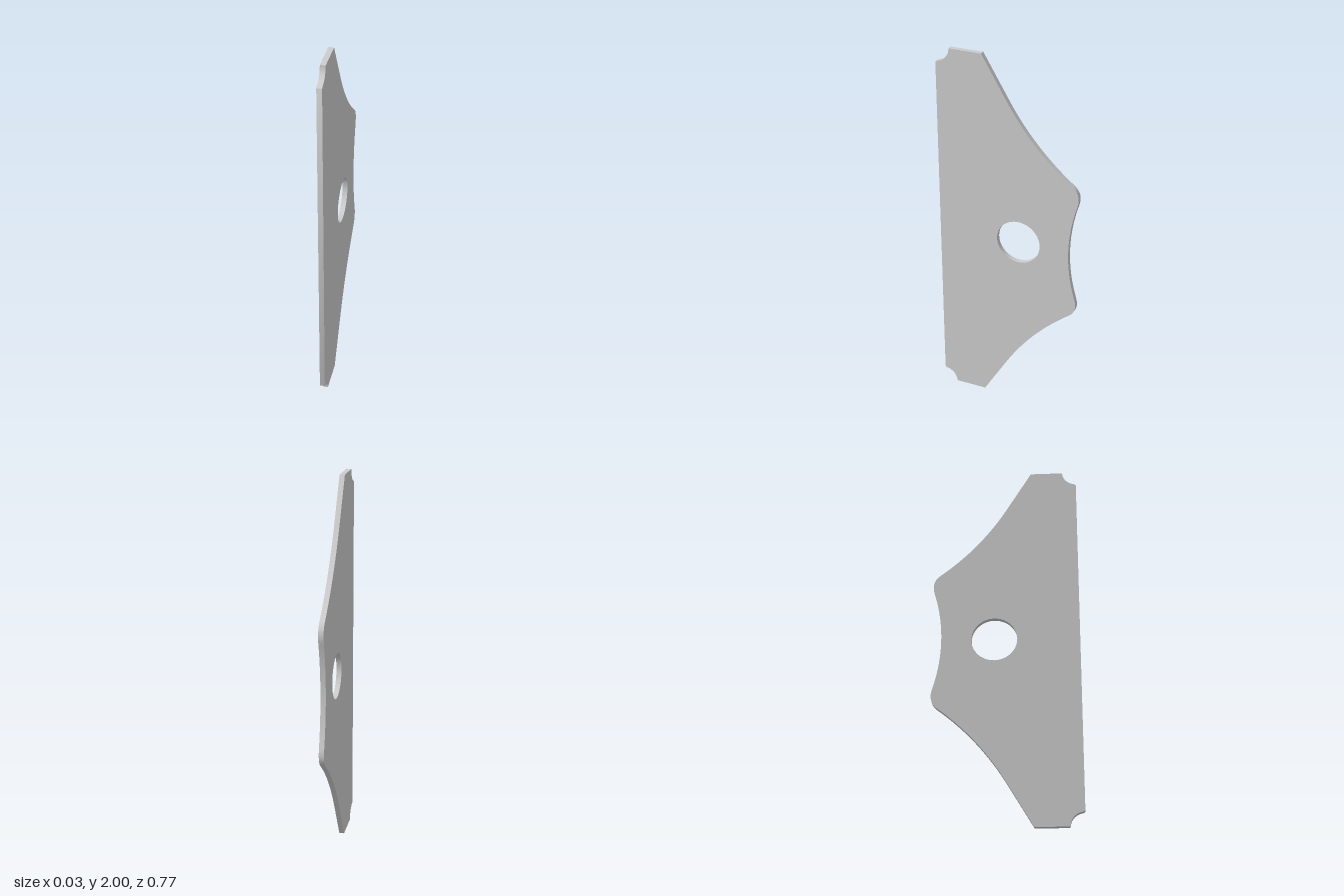
import * as THREE from 'three';
import { toCreasedNormals } from 'three/addons/utils/BufferGeometryUtils.js';

const THICKNESS = 0.027;
const MID = 1; // height of the mirror line

// Upper half of the outline, from the middle of the back edge to the front edge
function upperHalf() {
  const p = new THREE.Path();
  p.moveTo(0.3365, MID);
  p.quadraticCurveTo(0.3365, 1.139, 0.378, 1.275); // hollow back edge
  p.bezierCurveTo(0.391, 1.32, 0.38, 1.355, 0.35, 1.378); // rounded tip
  p.quadraticCurveTo(0.141, 1.536, 0, 1.77); // sweeping flank
  p.lineTo(-0.137, 2);
  p.lineTo(-0.31, 2);
  p.absarc(-0.383, 2, 0.073, 0, -1.36, true); // corner notch
  p.quadraticCurveTo(-0.381, 1.9265, -0.383, 1.918);
  return p.getPoints(20);
}

export function createModel() {
  const group = new THREE.Group();
  group.name = 'bladePlate';

  // Outline mirrored about the middle height
  const upper = upperHalf();
  const lower = upper.slice(1).reverse().map((v) => new THREE.Vector2(v.x, 2 * MID - v.y));
  const shape = new THREE.Shape([...upper, ...lower]);

  // Round mounting hole
  const hole = new THREE.Path();
  hole.absarc(0.061, MID, 0.119, 0, Math.PI * 2, true);
  shape.holes.push(hole);

  const extruded = new THREE.ExtrudeGeometry(shape, {
    depth: THICKNESS, bevelEnabled: false, curveSegments: 32,
  });
  extruded.translate(0, 0, -THICKNESS / 2);
  extruded.rotateY(Math.PI / 2); // the outline lies in the side plane

  const plate = new THREE.Mesh(
    toCreasedNormals(extruded, Math.PI / 7),
    new THREE.MeshStandardMaterial({ color: 0xcccccc }),
  );
  plate.name = 'plate';
  group.add(plate);
  return group;
}
